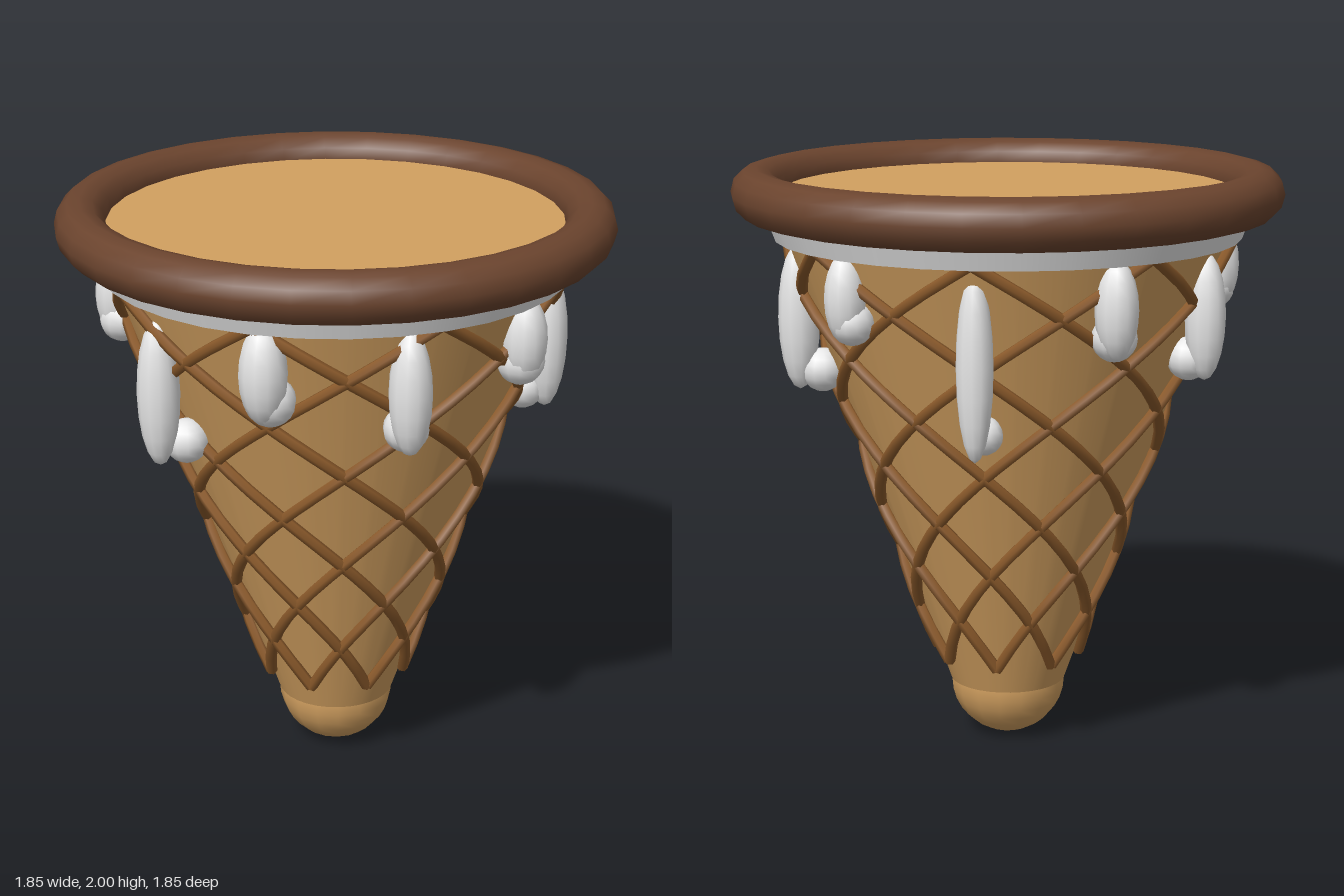
import * as THREE from 'three';

const mat = (name, color) => {
  const m = new THREE.MeshStandardMaterial({ color });
  m.name = name;
  return m;
};

export function createModel() {
  const group = new THREE.Group();
  const wafer = mat('wafer tan', 0xd2a060);
  const lattice = mat('lattice brown', 0x8b5a2b);
  const rimBrown = mat('rim dark brown', 0x6b442e);
  const cream = mat('cream white', 0xf3f3f3);

  const add = (parent, name, geometry, material, x = 0, y = 0, z = 0) => {
    const mesh = new THREE.Mesh(geometry, material);
    mesh.name = name;
    mesh.position.set(x, y, z);
    parent.add(mesh);
    return mesh;
  };

  // Tapered body with a flat top, and a rounded tip
  const bottomY = 0.2, topY = 1.92, bottomR = 0.2, topR = 0.8;
  const coneRadius = y => bottomR + (topR - bottomR) * (y - bottomY) / (topY - bottomY);
  add(group, 'coneBody', new THREE.CylinderGeometry(topR, bottomR, topY - bottomY, 32), wafer, 0, (topY + bottomY) / 2, 0);
  add(group, 'coneTip', new THREE.SphereGeometry(0.2, 16, 8, 0, Math.PI * 2, Math.PI / 2, Math.PI / 2), wafer, 0, 0.2, 0);

  // Thick rolled rim
  const rim = new THREE.TorusGeometry(0.842, 0.085, 12, 32);
  rim.rotateX(Math.PI / 2);
  add(group, 'rim', rim, rimBrown, 0, 1.915, 0);

  // Cream band under the rim
  add(group, 'creamBand', new THREE.CylinderGeometry(0.825, 0.787, 0.1, 32), cream, 0, 1.815, 0);

  // Crossing spiral strands: eight each way, half a turn from top to bottom
  const strands = new THREE.Group();
  strands.name = 'waffleLattice';
  group.add(strands);
  const strandTop = 1.78, strandBottom = 0.3;
  for (const dir of [1, -1]) {
    for (let i = 0; i < 8; i++) {
      const points = [];
      for (let k = 0; k <= 12; k++) {
        const t = k / 12;
        const y = THREE.MathUtils.lerp(strandTop, strandBottom, t);
        const a = i * Math.PI / 4 + dir * t * Math.PI;
        const r = coneRadius(y) + 0.015;
        points.push(new THREE.Vector3(Math.sin(a) * r, y, Math.cos(a) * r));
      }
      const path = new THREE.CatmullRomCurve3(points);
      add(strands, 'strand', new THREE.TubeGeometry(path, 24, 0.02, 6, false), lattice);
    }
  }

  // Drips: [angle in degrees, top, bottom, half width, distance from axis]
  const drips = [
    [2, 1.785, 1.46, 0.078, 0.74],
    [38, 1.76, 1.35, 0.07, 0.73],
    [74, 1.79, 1.5, 0.075, 0.735],
    [109, 1.75, 1.26, 0.07, 0.71],
    [144, 1.78, 1.49, 0.068, 0.735],
    [180, 1.75, 1.14, 0.06, 0.7],
    [216, 1.78, 1.46, 0.07, 0.735],
    [252, 1.75, 1.33, 0.068, 0.72],
    [288, 1.79, 1.5, 0.072, 0.735],
    [327, 1.71, 1.215, 0.07, 0.715],
  ];
  const ball = new THREE.SphereGeometry(1, 12, 10);
  for (const [deg, top, bottom, w, r] of drips) {
    const drip = new THREE.Group();
    drip.name = 'drip';
    drip.rotation.y = THREE.MathUtils.degToRad(deg);
    group.add(drip);
    add(drip, 'dripBody', ball, cream, 0, (top + bottom) / 2, r).scale.set(w, (top - bottom) / 2, w);
    // Rounded drop resting on the body at the lower end
    const dropY = bottom + 0.065;
    const size = w + 0.004;
    add(drip, 'dripDrop', ball, cream, 0.01, dropY, coneRadius(dropY) + 0.042).scale.set(size, size, size);
  }
  return group;
}
